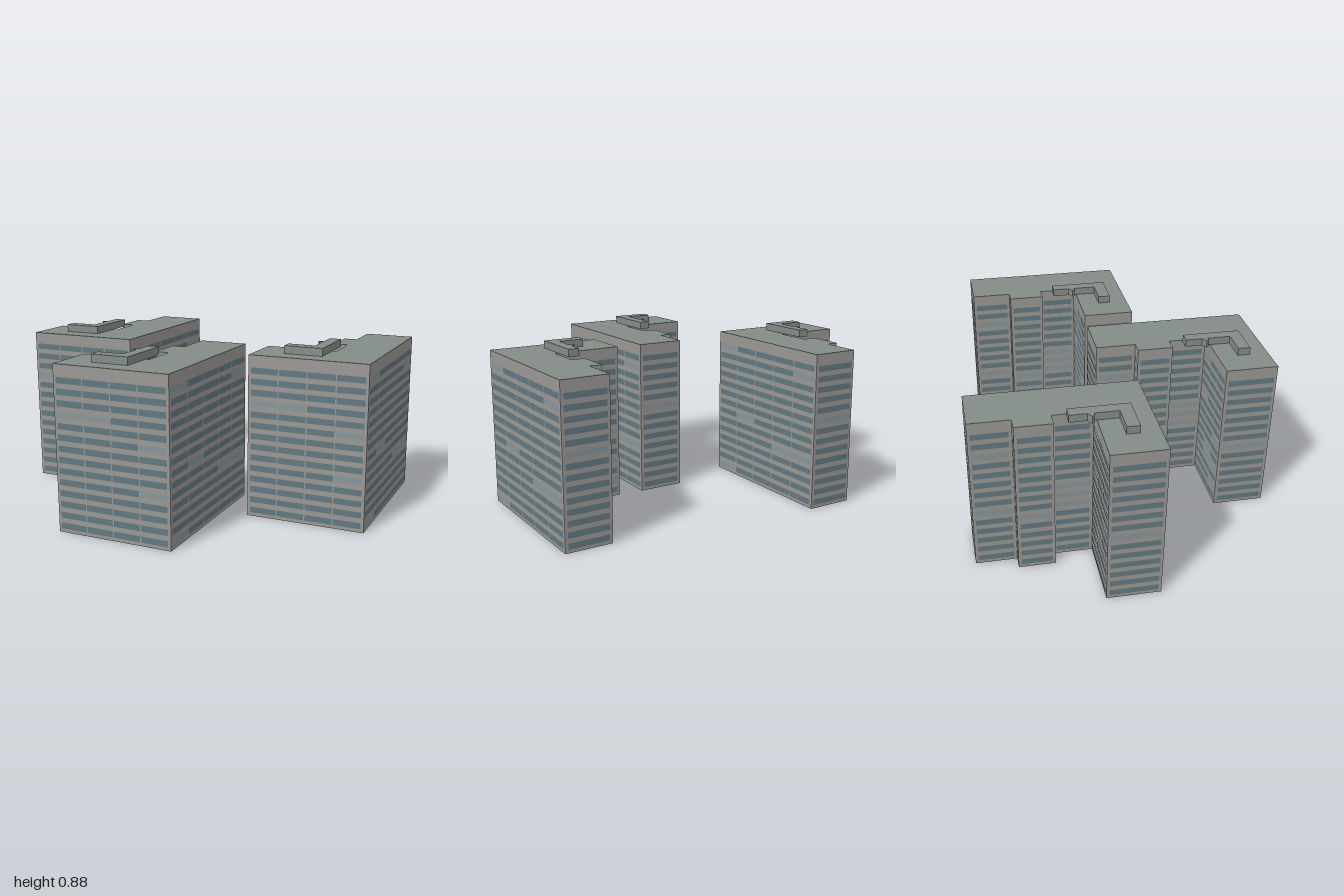
import * as THREE from 'three';
import { mergeGeometries } from 'three/addons/utils/BufferGeometryUtils.js';

const HEIGHT = 0.84, ROOF = 0.004, FLOORS = 14, FLOOR_STEP = 0.056;
const TURN = THREE.MathUtils.degToRad(44.07);

// Footprint corners, counter-clockwise: along the long facade, then back
const FOOTPRINT = [
  [0, 0], [0.873, 0], [0.873, 0.254], [0.662, 0.254], [0.662, 0.321],
  [0.474, 0.321], [0.474, 0.248], [0.273, 0.248], [0.273, 0.615], [0, 0.615],
];
// Window bays on each side of the footprint
const BAYS = [5, 1, 1, 1, 1, 1, 1, 3, 1, 4];

// L-shaped plant room, its long arm bridging over the courtyard
const PLANT_ROOM = [
  [0.1, 0.266], [0.406, 0.266], [0.406, 0.325], [0.318, 0.325], [0.3, 0.352],
  [0.286, 0.345], [0.286, 0.325], [0.165, 0.325], [0.165, 0.465], [0.1, 0.465],
];

// Upright prism over a plan outline
function prism(points, bottom, top) {
  const shape = new THREE.Shape(points.map(([u, v]) => new THREE.Vector2(u, v)));
  const g = new THREE.ExtrudeGeometry(shape, { depth: top - bottom, bevelEnabled: false });
  return g.rotateX(-Math.PI / 2).translate(0, bottom, 0);
}

function seeded(seed) {
  return () => (seed = (seed * 16807) % 2147483647) / 2147483647;
}

// Window strips on every facade, split into dark panes and paler ones
function windowGeometries() {
  const random = seeded(71);
  const dark = [], pale = [];
  FOOTPRINT.forEach(([u0, v0], side) => {
    const [u1, v1] = FOOTPRINT[(side + 1) % FOOTPRINT.length];
    const du = u1 - u0, dv = v1 - v0;
    const length = Math.hypot(du, dv);
    const margin = Math.min(0.012, length * 0.12);
    const bay = (length - 2 * margin) / BAYS[side];
    for (let floor = 0; floor < FLOORS; floor++) {
      for (let i = 0; i < BAYS[side]; i++) {
        const pane = new THREE.PlaneGeometry(bay - 0.006, 0.031);
        pane.translate(margin + (i + 0.5) * bay, 0.034 + floor * FLOOR_STEP, 0.0015);
        pane.rotateY(Math.atan2(dv, du)).translate(u0, 0, -v0);
        (random() < 0.12 ? pale : dark).push(pane);
      }
    }
  });
  return [mergeGeometries(dark), mergeGeometries(pale)];
}

export function createModel() {
  const model = new THREE.Group();
  model.name = 'apartmentBlocks';

  const paint = (color) => new THREE.MeshStandardMaterial({ color });
  const wall = paint(0x9a9894), roof = paint(0x848c88);
  const [darkPanes, palePanes] = windowGeometries();
  const parts = [
    ['walls', prism(FOOTPRINT, 0, HEIGHT - ROOF), wall],
    ['roof', prism(FOOTPRINT, HEIGHT - ROOF, HEIGHT), roof],
    ['plantRoom', prism(PLANT_ROOM, HEIGHT, 0.88), roof],
    ['windows', darkPanes, paint(0x627880)],
    ['paleWindows', palePanes, paint(0x87959a)],
  ];

  // Three equal blocks, each placed by its front corner
  const corners = [['leftBackBlock', -0.48, -0.15], ['leftFrontBlock', -0.575, 0.81], ['rightFrontBlock', 0.37, 0.94]];
  for (const [name, x, z] of corners) {
    const block = new THREE.Group();
    block.name = name.replace('left', 'west').replace('right', 'east');
    for (const [part, geometry, material] of parts) {
      const mesh = new THREE.Mesh(geometry, material);
      mesh.name = part;
      block.add(mesh);
    }
    block.position.set(x, 0, z);
    block.rotation.y = TURN;
    model.add(block);
  }
  return model;
}
